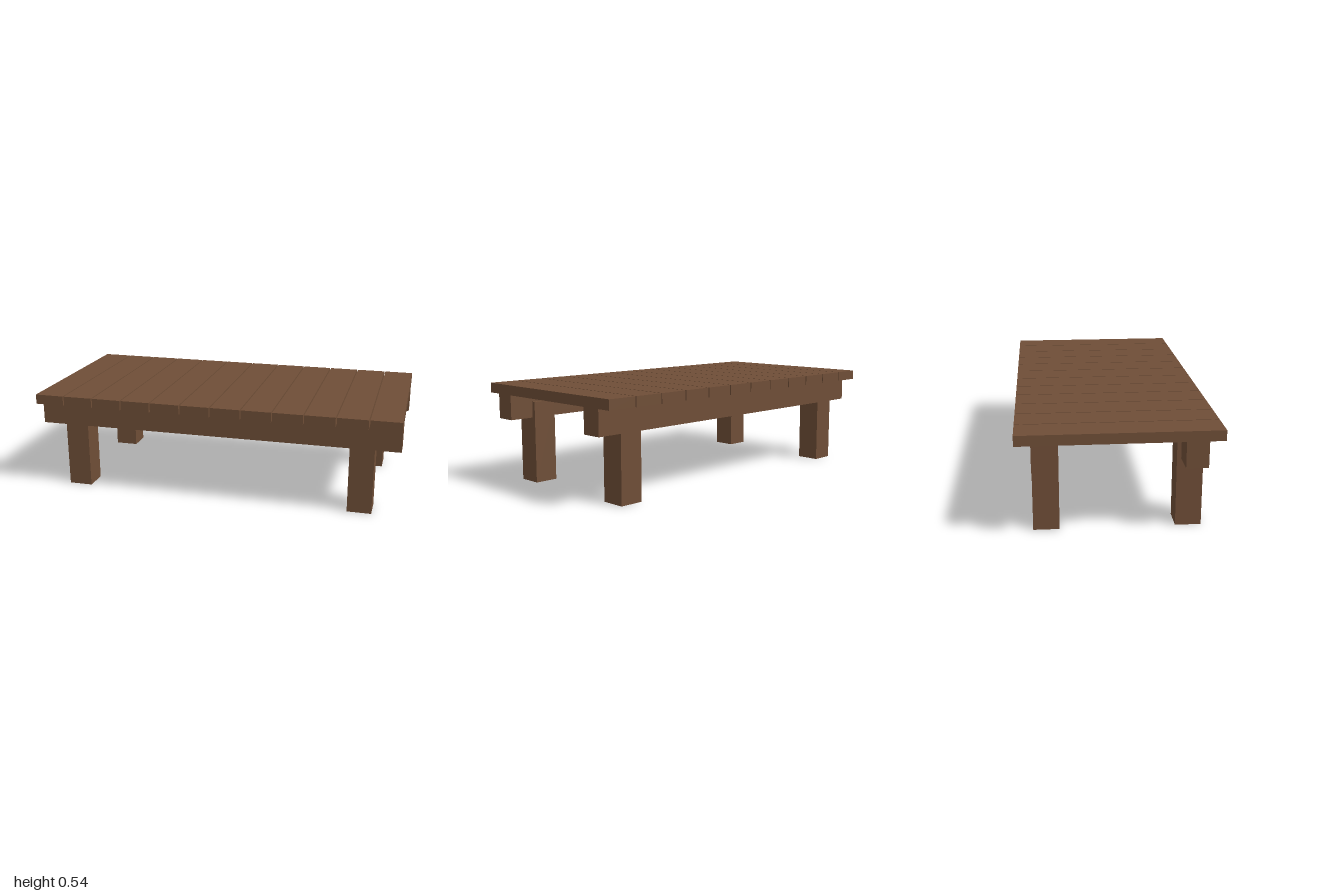
import * as THREE from 'three';

export function createModel() {
  const table = new THREE.Group();
  table.name = 'slattedTable';
  const wood = new THREE.MeshStandardMaterial({ color: 0x6f4e37 });
  wood.name = 'brown wood';

  // Box given by its centre x/z, bottom y and size
  function box(name, w, h, d, x, y, z) {
    const mesh = new THREE.Mesh(new THREE.BoxGeometry(w, h, d), wood);
    mesh.name = name;
    mesh.position.set(x, y + h / 2, z);
    table.add(mesh);
  }

  // Table top: planks running front to back with narrow gaps
  const count = 12, plankWidth = 0.161;
  const pitch = (2 - plankWidth) / (count - 1);
  for (let i = 0; i < count; i++) {
    box('plank' + (i + 1), plankWidth, 0.053, 1, (i - (count - 1) / 2) * pitch, 0.491, 0);
  }

  for (const z of [1, -1]) {
    const end = z > 0 ? 'front' : 'back';
    // Long rail under the planks
    box(end + 'Rail', 2, 0.133, 0.11, 0, 0.358, z * 0.366);
    // Posts, flush with the rail outside and standing proud of it inside
    for (const x of [1, -1]) {
      box(end + (x > 0 ? 'Left' : 'Right') + 'Leg', 0.13, 0.445, 0.131, x * 0.8, 0, z * 0.3555);
    }
  }
  return table;
}
